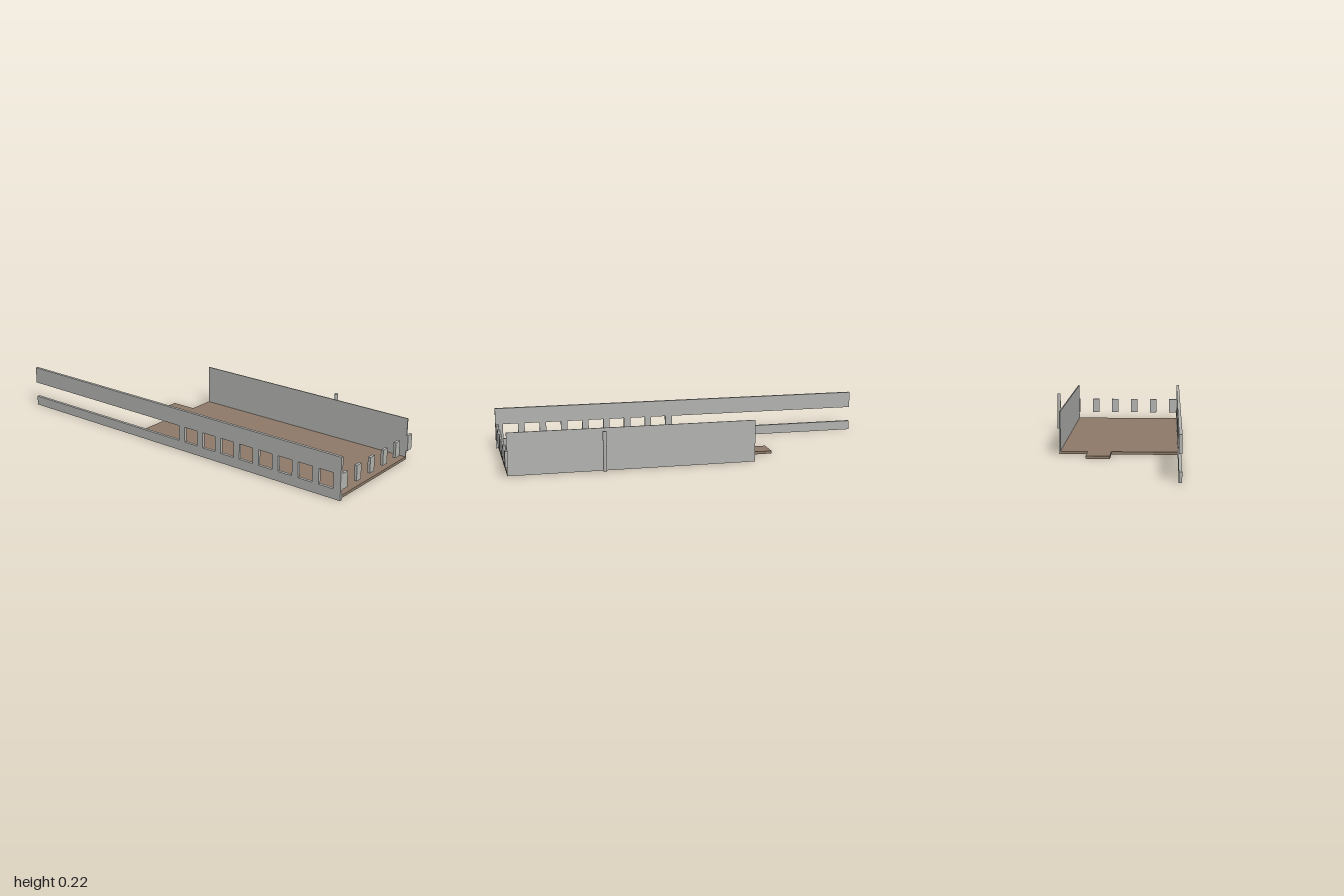
import * as THREE from 'three';

const wallGrey = new THREE.MeshStandardMaterial({ color: 0xb4b4b1 });
wallGrey.name = 'wall grey';
const floorBrown = new THREE.MeshStandardMaterial({ color: 0x8e7a69 });
floorBrown.name = 'floor brown';

// Closed outline from corner points
const outline = (pts, Type = THREE.Shape) => new Type(pts.map(([x, y]) => new THREE.Vector2(x, y)));

const extrude = (shape, depth) => new THREE.ExtrudeGeometry(shape, { depth, bevelEnabled: false });

function addMesh(parent, name, geometry, material) {
  const mesh = new THREE.Mesh(geometry, material);
  mesh.name = name;
  parent.add(mesh);
  return mesh;
}

// Box given by its minimum and maximum corners
function addBox(parent, name, min, max, material) {
  const size = max.map((v, i) => v - min[i]);
  const mesh = addMesh(parent, name, new THREE.BoxGeometry(...size), material);
  mesh.position.set(...max.map((v, i) => (v + min[i]) / 2));
  return mesh;
}

export function createModel() {
  const model = new THREE.Group();
  model.name = 'openHall';

  const height = 0.216, sill = 0.05, head = 0.13, pitch = 0.115;
  const frontZ = 0.333, backZ = -0.257;

  // Floor slab with a landing at its left end
  const slab = outline([
    [-0.264, -frontZ], [0.988, -frontZ], [0.988, -backZ], [-0.264, -backZ],
    [-0.264, 0.12], [-0.397, 0.12], [-0.397, 0], [-0.264, 0],
  ]);
  const floorGeometry = extrude(slab, 0.014);
  floorGeometry.rotateX(-Math.PI / 2);
  addMesh(model, 'floor', floorGeometry, floorBrown);

  // Front wall: long open slot, then a row of windows
  const front = outline([
    [-1, 0], [1, 0], [1, height], [-1, height],
    [-1, head], [0.038, head], [0.038, sill], [-1, sill],
  ]);
  for (let i = 0; i < 8; i++) {
    const x = 0.075 + i * pitch;
    front.holes.push(outline([[x, sill], [x, head], [x + 0.08, head], [x + 0.08, sill]], THREE.Path));
  }
  const frontWall = addMesh(model, 'frontWall', extrude(front, 0.015), wallGrey);
  frontWall.position.z = frontZ;

  // Thin solid back wall
  addBox(model, 'backWall', [-0.264, 0, backZ - 0.006], [0.988, height, backZ], wallGrey);

  // Row of window piers across the right-hand end
  const piers = new THREE.Group();
  piers.name = 'endPiers';
  model.add(piers);
  for (let i = 0; i < 6; i++) {
    const z = 0.289 - i * 0.1158;
    const far = i === 0 ? frontZ : z + 0.038;
    addBox(piers, 'endPier', [0.985, sill, z], [0.999, head, far], wallGrey);
  }

  // Free-standing round post behind the back wall
  const post = addMesh(model, 'post', new THREE.CylinderGeometry(0.0095, 0.0095, 0.201, 24), wallGrey);
  post.position.set(0.52, 0.1155, -0.338);

  return model;
}
